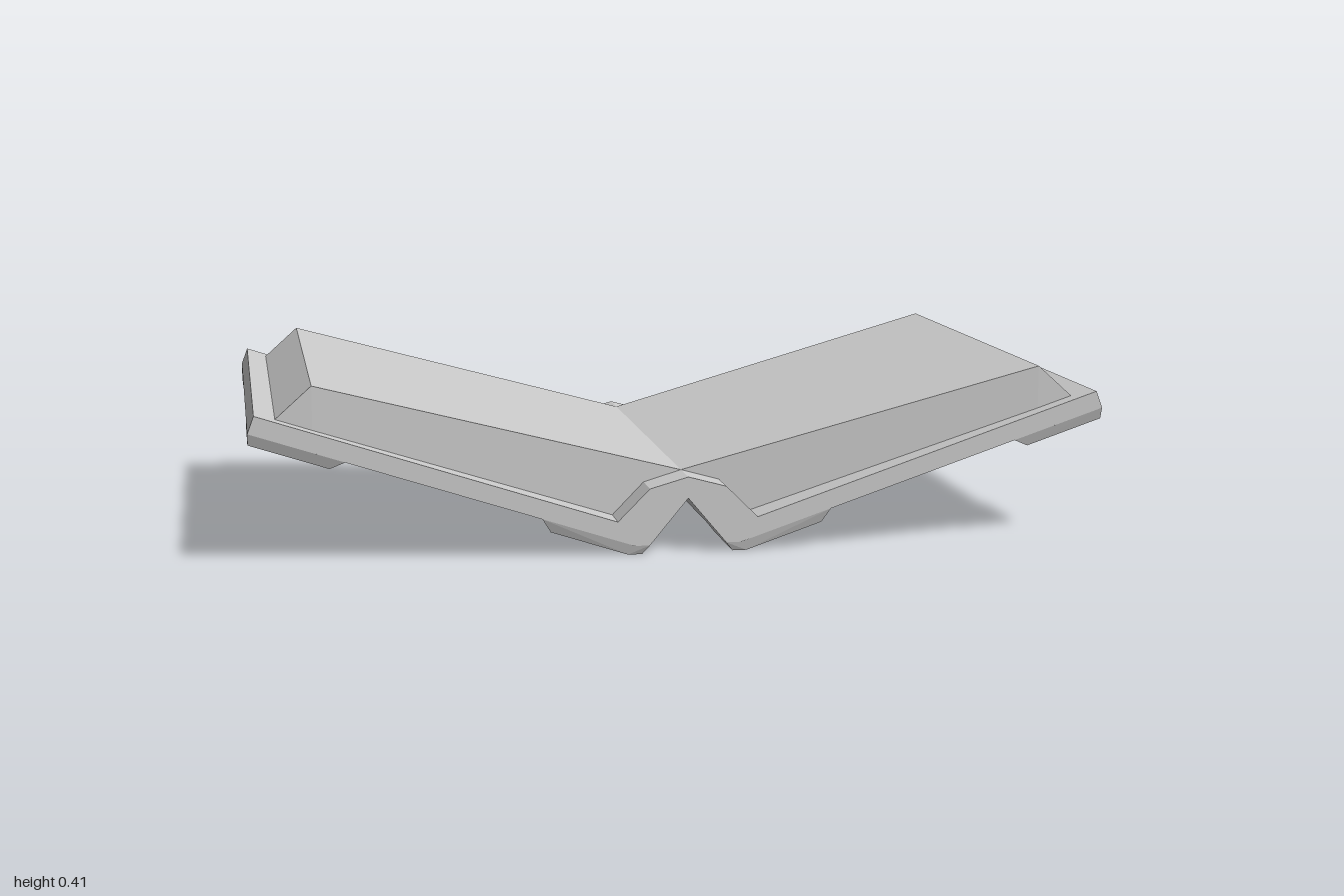
import * as THREE from 'three';
import { ConvexGeometry } from 'three/addons/geometries/ConvexGeometry.js';

const material = new THREE.MeshStandardMaterial({ color: 0xcccccc, flatShading: true });
const HALF_DEPTH = 0.545;

function part(name, geometry) {
  const mesh = new THREE.Mesh(geometry, material);
  mesh.name = name;
  return mesh;
}

function extrude(points, depth) {
  const shape = new THREE.Shape(points.map(([x, y]) => new THREE.Vector2(x, y)));
  return new THREE.ExtrudeGeometry(shape, { depth, bevelEnabled: false }).translate(0, 0, -depth / 2);
}

// Height of the sloping underside of a cover board
const underside = (x) => 0.022 + (x - 0.125) * 0.3314;

// Cover: two boards and a folded spine, one profile mirrored about x = 0
function coverGeometry() {
  const half = [[0.09, 0.022], [0.125, 0.022], [1, 0.312], [0.985, 0.352], [0.165, 0.08], [0.09, 0.155]];
  const mirrored = half.map(([x, y]) => [-x, y]).reverse();
  return extrude([[0, 0.13], ...half, [0, 0.18], ...mirrored], HALF_DEPTH * 2);
}

// Page block of one side: its ends draw inwards towards the spine
function pagesGeometry() {
  const geometry = extrude([[0, 0.17], [0.09, 0.15], [0.165, 0.075], [0.855, 0.304],
    [0.94, 0.334], [0.855, 0.41], [0, 0.18]], 1);
  const pos = geometry.attributes.position;
  for (let i = 0; i < pos.count; i++) {
    const end = 0.455 + 0.048 * Math.min(pos.getX(i) / 0.855, 1);
    pos.setZ(i, Math.sign(pos.getZ(i)) * end);
  }
  geometry.computeVertexNormals();
  return geometry;
}

// Bevelled triangular guards under the board corners, as [x, y, z] at the front
const outerGuard = [
  [1, 0.312, 0.545], [1, 0.312, 0.315], [0.785, underside(0.785), 0.545],
  [1, 0.285, 0.535], [1, 0.285, 0.34], [0.82, underside(0.82) - 0.027, 0.535],
];
const spineGuard = [
  [0.09, 0.022, 0.545], [0.09, 0.022, 0.315], [0.125, 0.022, 0.315], [0.34, underside(0.34), 0.545],
  [0.107, 0, 0.535], [0.107, 0, 0.34], [0.14, 0, 0.34], [0.14, 0, 0.535], [0.32, 0.06, 0.535],
];

function guardGeometry(points, side) {
  return new ConvexGeometry(points.map(([x, y, z]) => new THREE.Vector3(x, y, z * side)));
}

export function createModel() {
  const book = new THREE.Group();
  book.name = 'openBook';
  book.add(part('cover', coverGeometry()));

  // The right half is the left half turned half a circle
  for (const [name, turn] of [['left', 0], ['right', Math.PI]]) {
    const half = new THREE.Group();
    half.name = name + 'Half';
    half.rotation.y = turn;
    half.add(part('pages', pagesGeometry()));
    for (const side of [1, -1]) {
      half.add(part('outerCornerGuard', guardGeometry(outerGuard, side)));
      half.add(part('spineCornerGuard', guardGeometry(spineGuard, side)));
    }
    book.add(half);
  }
  return book;
}
